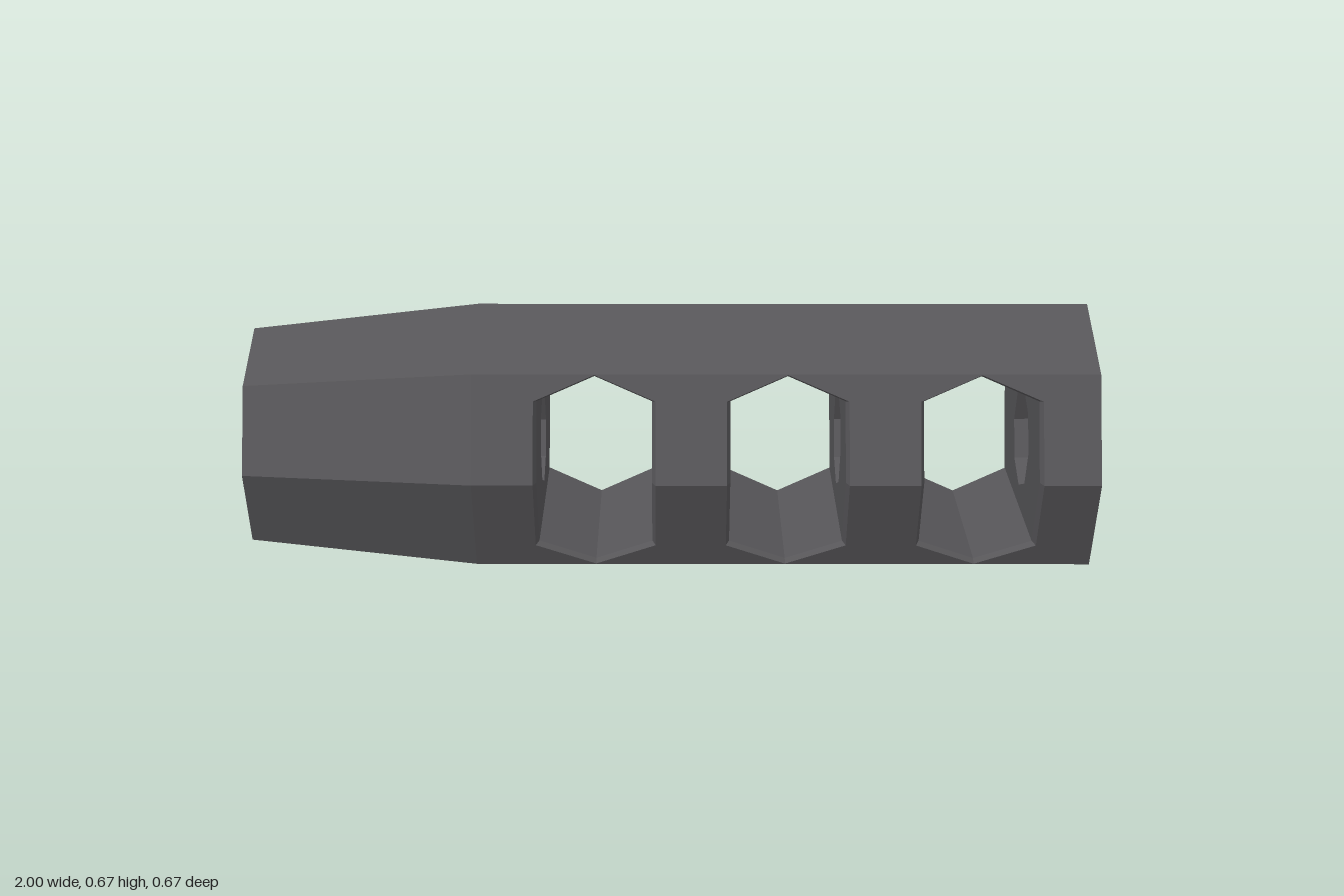
import * as THREE from 'three';

const R = 0.337, R_END = 0.275, BREAK = -0.46;   // octagon radii and start of the taper
const PORTS = [-0.175, 0.275, 0.725];            // port centres along x
const INNER = { w: 0.134, side: 0.175, tip: 0.229 };
const OUTER = { w: 0.142, side: 0.18, tip: 0.237 };
const BEVEL = 0.02;

const surfaceZ = (y) => R - (Math.SQRT2 - 1) * y;          // side facet depth at height y >= 0
const boreR = (x) => 0.112 + 0.016 * (x + 1) / 2;          // slightly tapered bore
const octagon = (r) => Array.from({ length: 8 }, (_, i) =>
  new THREE.Vector2(r * Math.cos(i * Math.PI / 4), r * Math.sin(i * Math.PI / 4)));

// upper half of a hexagonal port outline, left to right
const halfHex = (cx, { w, side, tip }) =>
  [[cx - w, 0], [cx - w, side], [cx, tip], [cx + w, side], [cx + w, 0]];

export function createModel() {
  const metal = new THREE.MeshStandardMaterial({ color: 0x565558 });
  metal.name = 'dark gunmetal';
  const model = new THREE.Group();
  model.name = 'portedOctagonalTube';
  const body = new THREE.Group();
  body.name = 'body';
  body.position.y = R;
  model.add(body);

  // add a flat-faceted mesh, optionally turned inside out
  function add(name, geo, flip = false) {
    if (flip) geo.index.array.reverse();
    const flat = geo.toNonIndexed();
    flat.computeVertexNormals();
    const mesh = new THREE.Mesh(flat, metal);
    mesh.name = name;
    body.add(mesh);
  }

  // octagonal skin between two x positions
  function skin(x0, x1, r0, r1, start = 0, segs = 8) {
    const g = new THREE.CylinderGeometry(r1, r0, x1 - x0, segs, 1, true, start, segs * Math.PI / 4);
    return g.rotateZ(-Math.PI / 2).translate((x0 + x1) / 2, 0, 0);
  }

  // plate across the tube with the bore cut out, facing +x or -x
  function plate(name, outline, x, dir) {
    const shape = new THREE.Shape(outline);
    shape.holes.push(new THREE.Path(octagon(boreR(x))));
    add(name, new THREE.ShapeGeometry(shape).rotateY(dir * Math.PI / 2).translate(x, 0, 0));
  }

  // strip of quads between two point rows
  function strip(a, b) {
    const pos = [], index = [];
    a.forEach((p, i) => {
      pos.push(...p, ...b[i]);
      if (i) {
        const k = 2 * i - 2;
        index.push(k, k + 1, k + 2, k + 2, k + 1, k + 3);
      }
    });
    const g = new THREE.BufferGeometry();
    g.setAttribute('position', new THREE.Float32BufferAttribute(pos, 3));
    g.setIndex(index);
    return g;
  }

  // tapered rear, and plain top and bottom facets
  add('taperedRear', skin(-1, BREAK, R_END, R));
  add('topFacets', skin(BREAK, 1, R, R, 5 * Math.PI / 4, 2));
  add('bottomFacets', skin(BREAK, 1, R, R, Math.PI / 4, 2));

  // end faces
  plate('rearFace', octagon(R_END), -1, -1);
  plate('muzzleFace', octagon(R), 1, 1);

  // bore pieces between the ports
  const stops = [-1, ...PORTS.flatMap((c) => [c - INNER.w, c + INNER.w]), 1];
  for (let i = 0; i < stops.length; i += 2) {
    const [a, b] = [stops[i], stops[i + 1]];
    add('bore', skin(a, b, boreR(a), boreR(b)), true);
  }

  // port end walls, pierced by the bore
  const zs = surfaceZ(INNER.side) - BEVEL, zr = R - BEVEL, h = INNER.side;
  const wall = [[zr, 0], [zs, h], [-zs, h], [-zr, 0], [-zs, -h], [zs, -h]]
    .map((p) => new THREE.Vector2(...p));
  for (const c of PORTS) {
    plate('portWall', wall, c - INNER.w, 1);
    plate('portWall', wall, c + INNER.w, -1);
  }

  // side facets, port bevels and sloped port walls, mirrored to four quarters
  for (const sy of [1, -1]) for (const sz of [1, -1]) {
    const flip = sy * sz < 0;
    const top = R * Math.SQRT1_2;
    const outline = [[BREAK, 0], ...PORTS.flatMap((c) => halfHex(c, OUTER)), [1, 0], [1, top], [BREAK, top]];
    const facet = new THREE.ShapeGeometry(new THREE.Shape(outline.map((p) => new THREE.Vector2(...p))));
    const pos = facet.attributes.position;
    for (let i = 0; i < pos.count; i++) pos.setZ(i, surfaceZ(pos.getY(i)));
    add('sideFacet', facet.scale(1, sy, sz), flip);

    for (const c of PORTS) {
      const rim = halfHex(c, OUTER).map(([x, y]) => [x, y, surfaceZ(y)]);
      const lip = halfHex(c, INNER).map(([x, y]) => [x, y, surfaceZ(y) - BEVEL]);
      add('portBevel', strip(rim, lip).scale(1, sy, sz), flip);
      const slope = lip.slice(1, 4);
      add('portSlope', strip(slope, slope.map(([x, y]) => [x, y, 0])).scale(1, sy, sz), flip);
    }
  }
  return model;
}
